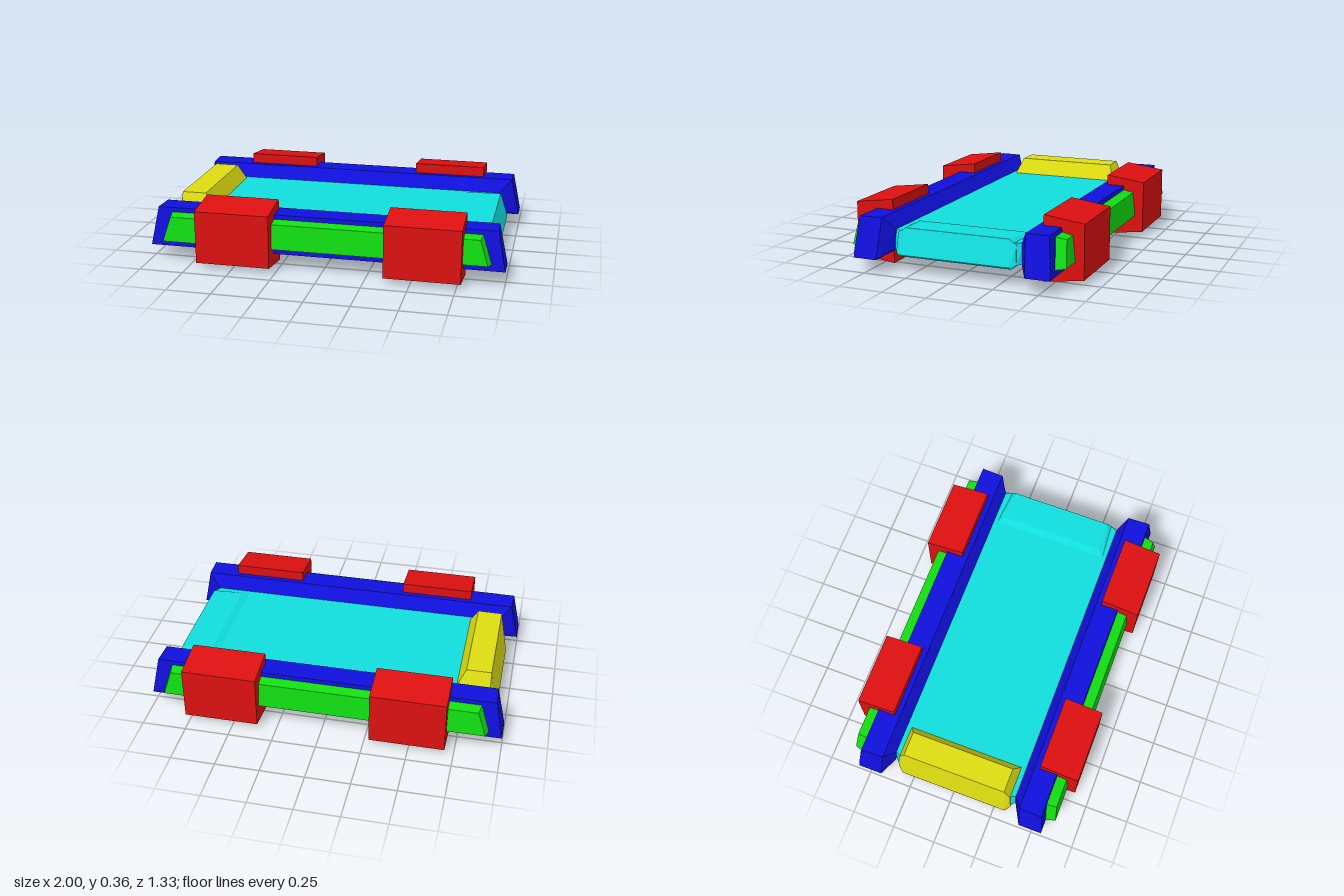
import * as THREE from 'three';
import { ConvexGeometry } from 'three/addons/geometries/ConvexGeometry.js';

const material = (color) => new THREE.MeshStandardMaterial({ color, flatShading: true });
const red = material(0xdd1010), green = material(0x11dd11), blue = material(0x1010dd);
const cyan = material(0x11dddd), yellow = material(0xdddd11), purple = material(0x990099);

// Faceted solid around a few corner points.
function solid(name, points, mat) {
  const mesh = new THREE.Mesh(new ConvexGeometry(points.map((p) => new THREE.Vector3(...p))), mat);
  mesh.name = name;
  return mesh;
}
// Repeat corners on the opposite side of x or z.
const mirrorX = (pts) => pts.flatMap(([x, y, z]) => [[x, y, z], [-x, y, z]]);
const mirrorZ = (pts) => pts.flatMap(([x, y, z]) => [[x, y, z], [x, y, -z]]);

export function createModel() {
  const group = new THREE.Group();
  group.name = 'slab';

  // Central plate with chamfered corners
  group.add(solid('plate', mirrorX(mirrorZ([
    [0.87, 0.227, 0.375], [0.88, 0.115, 0.375],
    [0.895, 0.227, 0.335], [0.915, 0.115, 0.345],
  ])), cyan));

  // Wedge-shaped nose, rising gently from the plate
  group.add(solid('nose', mirrorZ([
    [0.68, 0.227, 0.34], [0.68, 0.115, 0.34],
    [0.72, 0.242, 0.30], [0.895, 0.245, 0.30],
    [0.90, 0.215, 0.34], [0.92, 0.115, 0.345],
    [0.94, 0.105, 0.315], [0.93, 0.095, 0.325], [0.86, 0.095, 0.325],
  ]), cyan));

  // Taller tail block
  group.add(solid('tail', mirrorZ([
    [-0.90, 0.32, 0.30], [-0.76, 0.32, 0.30], [-0.715, 0.23, 0.335],
    [-0.90, 0.235, 0.335], [-0.72, 0.10, 0.345], [-0.92, 0.09, 0.345],
    [-0.945, 0.05, 0.315], [-0.94, 0.02, 0.315], [-0.77, 0.02, 0.325],
  ]), yellow));

  for (const side of [1, -1]) {
    const s = (pts) => pts.map(([x, y, z]) => [x, y, z * side]);

    // Side rail with sloped ends and a bevelled inner edge
    group.add(solid('rail', mirrorX(s([
      [1.0, 0.08, 0.56], [1.0, 0.08, 0.425],
      [0.955, 0.302, 0.54], [0.95, 0.302, 0.41], [0.99, 0.125, 0.56],
      [0.88, 0.225, 0.362], [0.90, 0.115, 0.37],
    ])), blue));

    // Outer strip
    group.add(solid('sideStrip', mirrorX(s([
      [0.93, 0.115, 0.545], [0.875, 0.278, 0.54],
      [0.91, 0.125, 0.615], [0.865, 0.265, 0.60],
    ])), green));

    // Two tapered blocks straddling the rail
    for (const x of [-0.49, 0.565]) {
      const block = [-0.21, 0.21].flatMap((dx) => s([
        [x + dx, 0, 0.44], [x + dx, 0.36, 0.44],
        [x + dx, 0.03, 0.663], [x + dx, 0.33, 0.663],
      ]));
      group.add(solid('sideBlock', block, red));
    }

    // Underside runner with sloped flanks and a coloured sole
    group.add(solid('runner', mirrorX(s([
      [0.72, 0.118, 0.34], [0.72, 0.118, 0.10],
      [0.67, 0.08, 0.305], [0.67, 0.08, 0.13],
    ])), cyan));
    const sole = new THREE.Mesh(new THREE.BoxGeometry(1.34, 0.004, 0.175), purple);
    sole.name = 'runnerSole';
    sole.position.set(0, 0.081, 0.2175 * side);
    group.add(sole);
  }
  return group;
}
